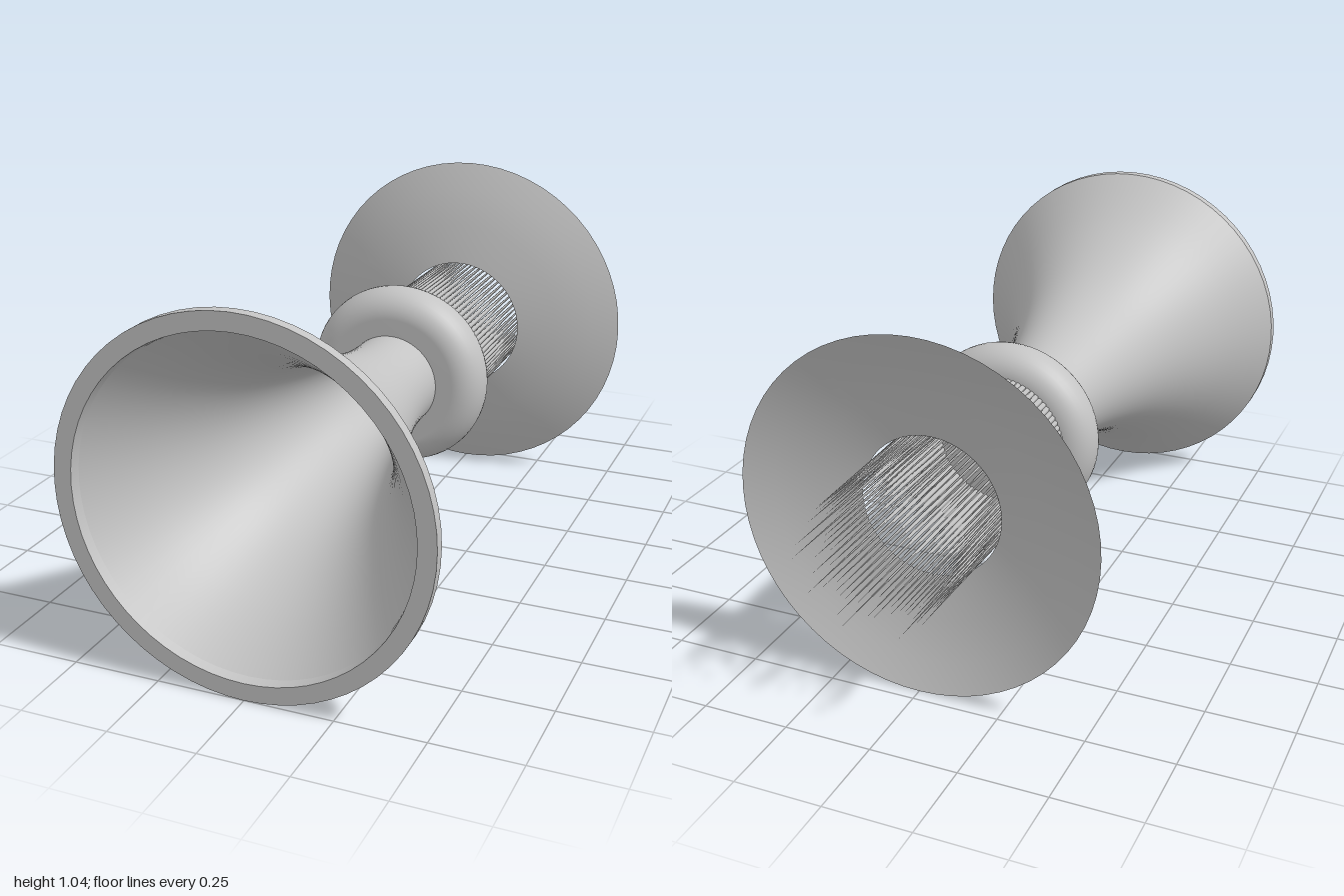
import * as THREE from 'three';

const AXIS_Y = 0.525;

export function createModel() {
  const model = new THREE.Group();
  const grey = new THREE.MeshStandardMaterial({ color: 0xc4c4c4 });
  grey.name = 'grey';
  grey.side = THREE.DoubleSide;

  const add = (name, geometry, parent = model) => {
    const mesh = new THREE.Mesh(geometry, grey);
    mesh.name = name;
    parent.add(mesh);
    return mesh;
  };
  // Profiles are [radius, z], turned about the z axis
  const turned = (name, points, parent) => {
    const profile = points.map(([r, z]) => new THREE.Vector2(r, z));
    return add(name, new THREE.LatheGeometry(profile, 64).rotateX(Math.PI / 2), parent);
  };
  const smooth = (points, n) => new THREE.SplineCurve(points.map(p => new THREE.Vector2(...p)))
    .getPoints(n).map(p => [p.x, p.y]);

  // Flared horn with a flat rim and a thin wall
  const horn = new THREE.Group();
  horn.name = 'horn';
  model.add(horn);
  turned('hornOuter', smooth([[0.143, -0.01], [0.147, 0.1], [0.165, 0.22], [0.208, 0.4],
    [0.278, 0.6], [0.39, 0.8], [0.52, 0.97]], 28), horn);
  turned('hornRimEdge', [[0.52, 0.97], [0.52, 1]], horn);
  turned('hornRim', [[0.52, 1], [0.47, 1]], horn);
  turned('hornLip', [[0.47, 1], [0.466, 0.97]], horn);
  turned('hornInner', smooth([[0.466, 0.97], [0.352, 0.8], [0.25, 0.6], [0.188, 0.4],
    [0.15, 0.22], [0.133, 0.1], [0.13, -0.01]], 28), horn);

  // Rounded solid collar
  const collar = [[0, -0.16]];
  for (let i = 0; i <= 16; i++) {
    const a = -Math.PI / 2 + Math.PI * i / 16;
    collar.push([0.195 + 0.08 * Math.cos(a), -0.08 + 0.08 * Math.sin(a)]);
  }
  collar.push([0, 0]);
  turned('collar', collar);

  // Shallow dish with an open centre
  turned('dish', [[0.52, -0.712], [0.44, -0.675], [0.33, -0.637], [0.205, -0.61]]
    .map(([r, z]) => [r, z]));

  // Ring of tapering bristles of uneven length
  const bristles = new THREE.Group();
  bristles.name = 'bristles';
  model.add(bristles);
  let seed = 7;
  const random = () => (seed = (seed * 16807) % 2147483647) / 2147483647;
  const count = 80;
  for (let i = 0; i < count; i++) {
    const a = i / count * Math.PI * 2;
    const length = 0.62 + 0.22 * (i === 0 ? 1 : random());
    const cone = new THREE.ConeGeometry(0.0095, length, 6, 1, true)
      .translate(0, length / 2, 0).rotateX(-Math.PI / 2);
    add('bristle', cone, bristles)
      .position.set(0.195 * Math.cos(a), 0.195 * Math.sin(a), -0.16);
  }

  // Lift the shared axis so the rims rest on the ground
  model.children.forEach(part => { part.position.y = AXIS_Y; });
  return model;
}
